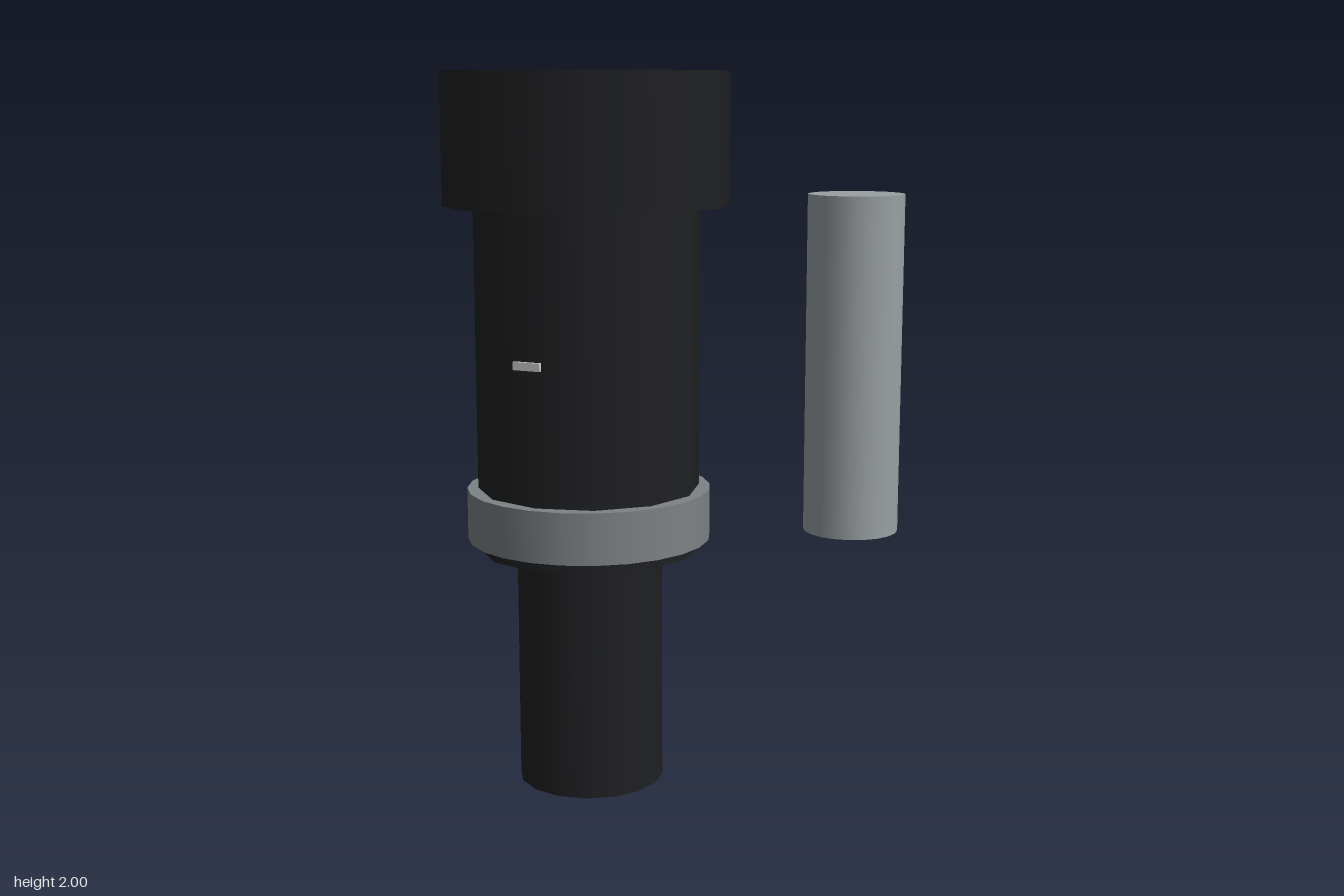
import * as THREE from 'three';

export function createModel() {
  const model = new THREE.Group();
  const dark = new THREE.MeshStandardMaterial({ color: 0x1f2022 });
  const steel = new THREE.MeshStandardMaterial({ color: 0x7d8285 });
  const silver = new THREE.MeshStandardMaterial({ color: 0x9aa0a3 });
  const pale = new THREE.MeshStandardMaterial({ color: 0xcccccc });
  const axisX = -0.255;

  // Upright cylinder between two heights
  function column(name, radius, bottom, top, sides, material, x = axisX) {
    const geometry = new THREE.CylinderGeometry(radius, radius, top - bottom, sides);
    const mesh = new THREE.Mesh(geometry, material);
    mesh.name = name;
    mesh.position.set(x, (bottom + top) / 2, 0);
    model.add(mesh);
  }

  // Main stack, from the foot upwards
  column('handle', 0.206, 0, 0.69, 16, dark);
  column('body', 0.311, 0.677, 1.66, 12, dark);
  column('ring', 0.342, 0.71, 0.853, 24, steel);
  column('head', 0.394, 1.64, 2, 12, dark);

  // Separate rod beside the stack
  column('rod', 0.124, 0.81, 1.69, 20, silver, 0.524);

  // Small plate floating just off the front of the body
  const plate = new THREE.Mesh(new THREE.BoxGeometry(0.08, 0.022, 0.01), pale);
  plate.name = 'plate';
  plate.position.set(axisX, 1.24, 0.342);
  model.add(plate);

  return model;
}
